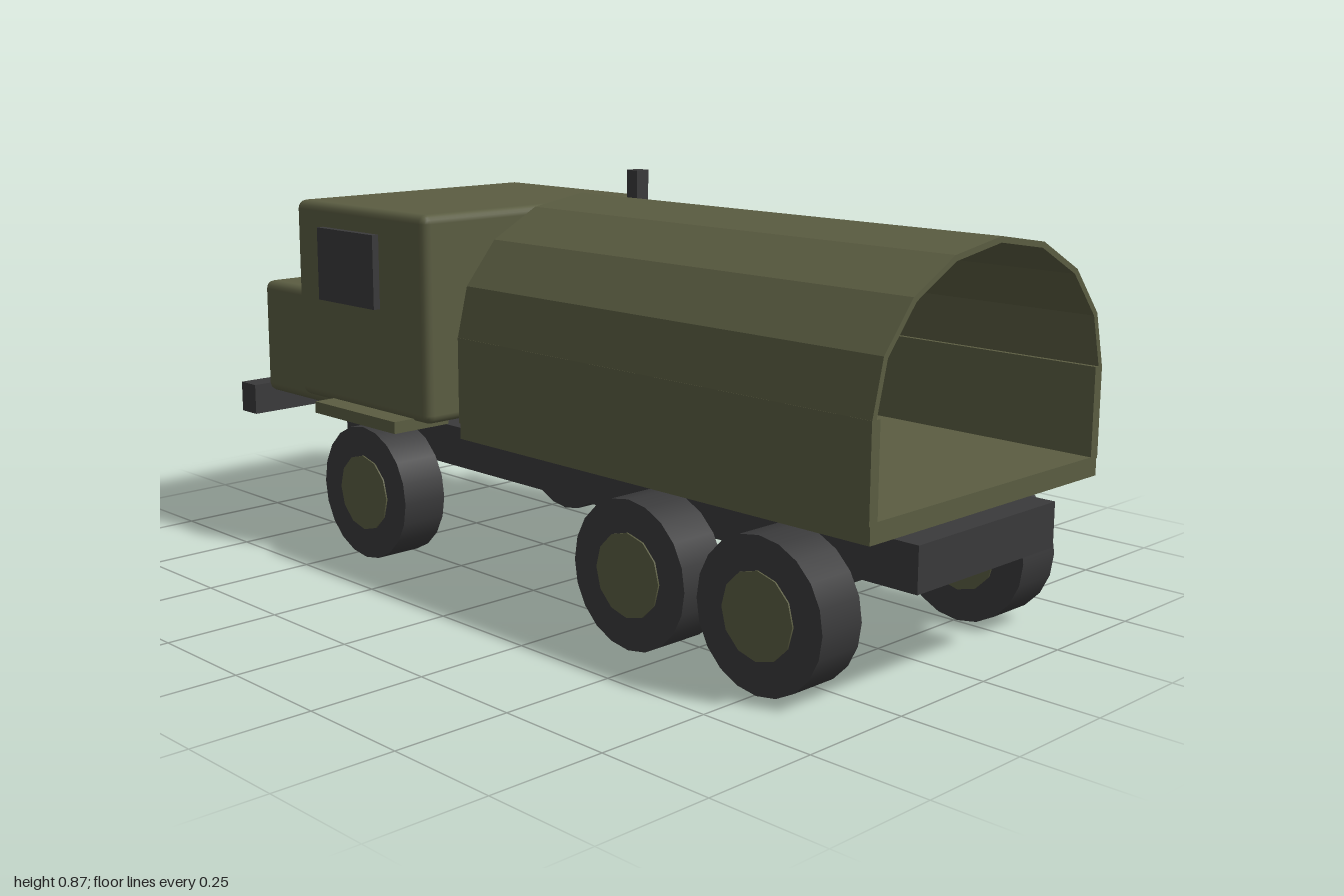
import * as THREE from 'three';
import { RoundedBoxGeometry } from 'three/addons/geometries/RoundedBoxGeometry.js';

export function createModel() {
  const truck = new THREE.Group();
  truck.name = 'truck';
  const mat = (name, color) => Object.assign(new THREE.MeshStandardMaterial({ color }), { name });
  const olive = mat('olive', 0x5b5d42);
  const dark = mat('darkGrey', 0x3a3a3b);

  function add(name, geometry, material, x = 0, y = 0, z = 0) {
    const mesh = new THREE.Mesh(geometry, material);
    mesh.name = name;
    mesh.position.set(x, y, z);
    truck.add(mesh);
    return mesh;
  }
  // Box given by its limits on each axis; a radius rounds the edges
  function box(name, material, [x0, x1], [y0, y1], [z0, z1], radius = 0) {
    const size = [x1 - x0, y1 - y0, z1 - z0];
    const geometry = radius
      ? new RoundedBoxGeometry(...size, 2, radius)
      : new THREE.BoxGeometry(...size);
    return add(name, geometry, material, (x0 + x1) / 2, (y0 + y1) / 2, (z0 + z1) / 2);
  }

  // Chassis and front bumper
  box('chassis', dark, [-0.215, 0.215], [0.218, 0.31], [-0.73, 1]);
  box('bumper', dark, [-0.34, 0.34], [0.257, 0.33], [-1, -0.94]);

  // Cab, hood and their fittings
  box('cab', olive, [-0.34, 0.34], [0.34, 0.805], [-0.736, -0.245], 0.02);
  box('hood', olive, [-0.307, 0.307], [0.315, 0.59], [-0.935, -0.66], 0.02);
  box('windshield', dark, [-0.3, 0.3], [0.585, 0.775], [-0.742, -0.734]);
  box('grille', dark, [-0.225, 0.225], [0.345, 0.515], [-0.944, -0.933]);
  box('exhaustStack', dark, [0.275, 0.312], [0.556, 0.868], [-0.252, -0.217]);

  for (const side of [-1, 1]) {
    const span = (a, b) => (side > 0 ? [a, b] : [-b, -a]);
    box('sideWindow', dark, span(0.338, 0.357), [0.582, 0.75], [-0.625, -0.412]);
    box('fender', olive, span(0.235, 0.387), [0.32, 0.347], [-0.61, -0.305]);
    box('bedWall', olive, span(0.335, 0.358), [0.372, 0.558], [-0.113, 1]);

    const lamp = add('headlight', new THREE.CylinderGeometry(0.04, 0.04, 0.03, 12), dark,
      side * 0.22, 0.485, -0.943);
    lamp.rotation.x = Math.PI / 2;

    // Three wheels on each side, with hubs showing on both faces
    for (const z of [-0.455, 0.415, 0.755]) {
      const tyre = add('tyre', new THREE.CylinderGeometry(0.154, 0.154, 0.11, 20), dark,
        side * 0.31, 0.154, z);
      const hub = add('hub', new THREE.CylinderGeometry(0.087, 0.087, 0.117, 12), olive,
        side * 0.31, 0.154, z);
      tyre.rotation.z = hub.rotation.z = Math.PI / 2;
    }
  }

  // Cargo bed floor
  box('bedFloor', olive, [-0.355, 0.355], [0.337, 0.377], [-0.113, 1]);

  // Faceted canvas arch, open at both ends
  const arc = (rx, ry) => Array.from({ length: 9 }, (_, i) => {
    const a = (i / 8) * Math.PI;
    return new THREE.Vector2(rx * Math.cos(a), 0.556 + ry * Math.sin(a));
  });
  const section = new THREE.Shape([...arc(0.358, 0.286), ...arc(0.346, 0.274).reverse()]);
  add('canvasCover', new THREE.ExtrudeGeometry(section, { depth: 1.113, bevelEnabled: false }),
    olive, 0, 0, -0.113);

  return truck;
}
